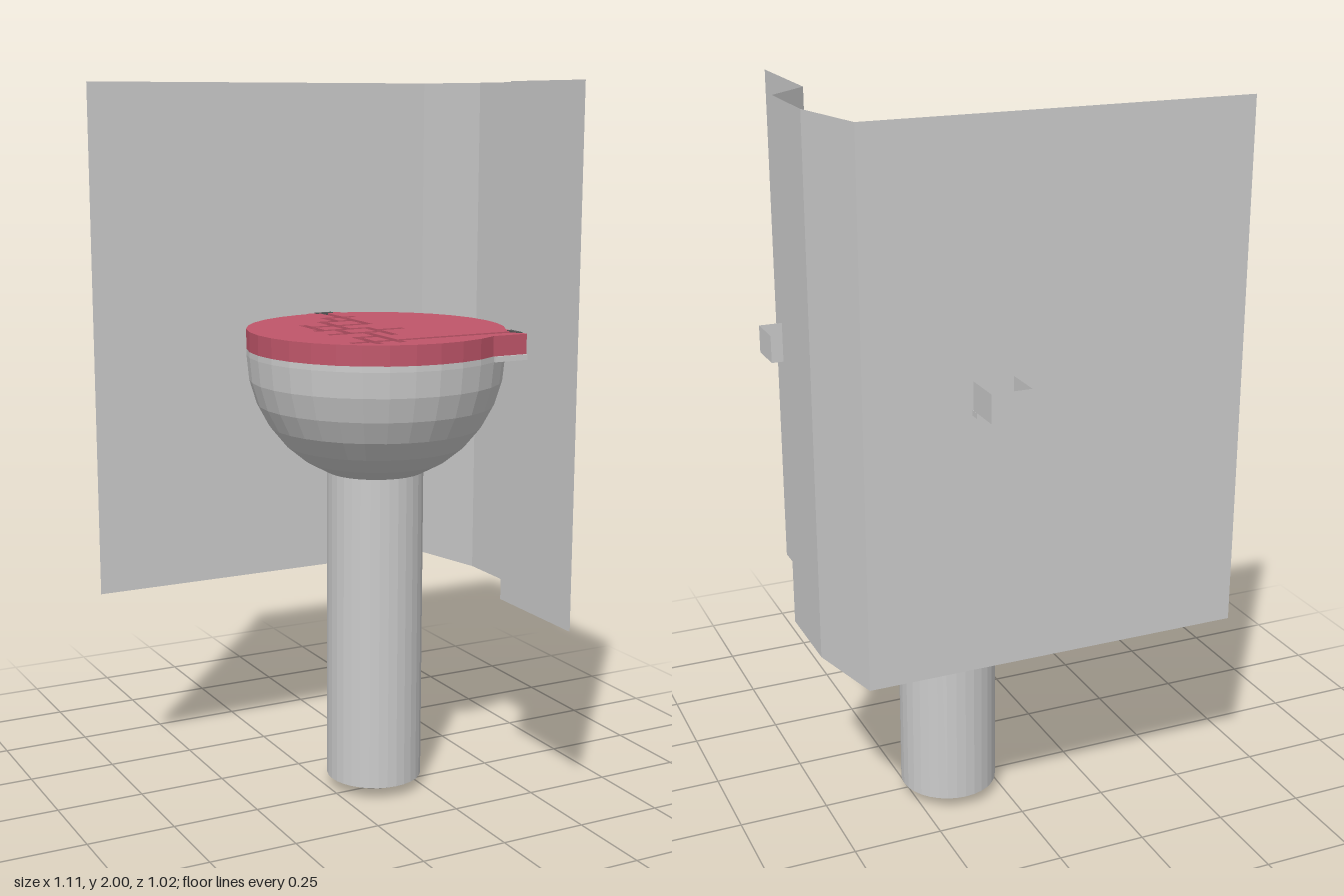
import * as THREE from 'three';

const mat = (color) => new THREE.MeshStandardMaterial({ color, flatShading: true, side: THREE.DoubleSide });
const grey = mat(0xcccccc), red = mat(0xc0566a), black = mat(0x0c0c0c), dark = mat(0x555555);

const CX = 0.137, CZ = -0.03, R = 0.358;   // bowl axis and radius
const FLOOR = 1.28, TOP = 1.335;           // underside and top of the channel plate
const SCREEN_Y = 0.565, SCREEN_TOP = 2;
const HALF = 0.0115;                       // half width of a channel

// Channel centre lines: x0, z0, x1, z1
const channels = [
  [0.155, -0.378, 0.155, -0.112], [0.104, -0.275, 0.188, -0.275],
  [0.104, -0.275, 0.104, -0.2], [0.054, -0.2, 0.155, -0.2],
  [0.054, -0.2, 0.054, -0.035], [-0.024, -0.112, 0.155, -0.112],
  [-0.024, -0.151, -0.024, -0.035], [-0.039, -0.035, 0.112, -0.035],
  [0.112, -0.035, 0.112, 0.113], [0.112, 0.015, 0.188, 0.015],
  [0.016, -0.035, 0.016, 0.048], [-0.039, 0.048, 0.112, 0.048],
  [0.06, 0.048, 0.06, 0.25], [-0.007, 0.131, 0.06, 0.131],
  [-0.007, 0.131, -0.007, 0.25], [-0.061, 0.22, 0.418, 0.22],
].map(([a, b, c, d]) => [a - HALF, b - HALF, c + HALF, d + HALF]);

function add(parent, name, geometry, material, x = 0, y = 0, z = 0) {
  const mesh = new THREE.Mesh(geometry, material);
  mesh.name = name;
  mesh.position.set(x, y, z);
  parent.add(mesh);
  return mesh;
}

// Outline loops of the union of rectangles; the filled side is on the left
function unionLoops(rects) {
  const lines = (i) => [...new Set(rects.flatMap((r) => [r[i], r[i + 2]]))].sort((a, b) => a - b);
  const xs = lines(0), zs = lines(1);
  const filled = (i, j) => {
    const x = (xs[i] + xs[i + 1]) / 2, z = (zs[j] + zs[j + 1]) / 2;
    return rects.some((r) => x > r[0] && x < r[2] && z > r[1] && z < r[3]);
  };
  const next = new Map();
  const edge = (a, b, c, d) => next.set(`${a},${b}`, `${c},${d}`);
  for (let i = 0; i < xs.length - 1; i++) {
    for (let j = 0; j < zs.length - 1; j++) {
      if (!filled(i, j)) continue;
      if (!filled(i, j - 1)) edge(i, j, i + 1, j);
      if (!filled(i + 1, j)) edge(i + 1, j, i + 1, j + 1);
      if (!filled(i, j + 1)) edge(i + 1, j + 1, i, j + 1);
      if (!filled(i - 1, j)) edge(i, j + 1, i, j);
    }
  }
  const loops = [];
  while (next.size) {
    let key = next.keys().next().value;
    const loop = [];
    while (next.has(key)) {
      const [i, j] = key.split(',').map(Number);
      loop.push(new THREE.Vector2(xs[i], zs[j]));
      const following = next.get(key);
      next.delete(key);
      key = following;
    }
    loops.push(loop);
  }
  return loops;
}

// Round plate outline with a square corner at the side port and a short tab at the back port
function plateOutline() {
  const points = [];
  for (let i = 0; i < 32; i++) {
    const deg = i * 11.25, a = THREE.MathUtils.degToRad(deg);
    if (i === 3) [[0.437, 0.165], [0.437, 0.27], [0.332, 0.27]].forEach((p) => points.push(new THREE.Vector2(...p)));
    if (i === 24) [[0.102, -0.385], [0.102, -0.394], [0.21, -0.394], [0.21, -0.38]].forEach((p) => points.push(new THREE.Vector2(...p)));
    if ((deg > 32 && deg < 58) || (deg > 263 && deg < 283)) continue;
    points.push(new THREE.Vector2(CX + R * Math.cos(a), CZ + R * Math.sin(a)));
  }
  return points;
}

// Open-topped port box outside the screen, pointing along -z
function makePort(name, x, z, turn) {
  const port = new THREE.Group();
  port.name = name;
  const size = 0.108, mid = -0.061;
  const walls = new THREE.CylinderGeometry(size / Math.SQRT2, size / Math.SQRT2, 0.075, 4, 1, true).rotateY(Math.PI / 4);
  add(port, 'portWalls', walls, grey, 0, FLOOR + 0.0375, mid);
  add(port, 'portFloor', new THREE.PlaneGeometry(size, size).rotateX(-Math.PI / 2), black, 0, FLOOR + 0.001, mid);
  add(port, 'portPin', new THREE.BoxGeometry(0.026, 0.02, 0.017), dark, 0, FLOOR + 0.011, mid);
  add(port, 'portNeck', new THREE.BoxGeometry(0.054, 0.056, 0.02), dark, 0, FLOOR + 0.029, 0.005);
  add(port, 'portShelf', new THREE.BoxGeometry(size, 0.015, 0.13), grey, 0, FLOOR - 0.0078, 0.037);
  port.position.set(x, 0, z);
  port.rotation.y = turn;
  return port;
}

export function createModel() {
  const model = new THREE.Group();
  model.name = 'pedestalWithScreen';

  // Column with a shallow domed foot
  const column = [[0, 0], [0.05, 0.005], [0.1, 0.019], [0.136, 0.035], [0.136, 0.95]].map((p) => new THREE.Vector2(...p));
  add(model, 'column', new THREE.LatheGeometry(column, 32), grey, CX, 0, CZ);

  // Hemispherical bowl closed by a flat top
  const bowl = [];
  for (let i = 0; i <= 8; i++) {
    const a = (i * Math.PI) / 16;
    bowl.push(new THREE.Vector2(R * Math.sin(a), 1.264 - R * Math.cos(a)));
  }
  bowl.push(new THREE.Vector2(R, FLOOR), new THREE.Vector2(0, FLOOR));
  add(model, 'bowl', new THREE.LatheGeometry(bowl, 32), grey, CX, 0, CZ);

  // Plate cut through by the channels, with the enclosed islands kept
  const plate = new THREE.Shape(plateOutline());
  const shapes = [plate];
  for (const loop of unionLoops(channels)) {
    if (THREE.ShapeUtils.area(loop) > 0) plate.holes.push(new THREE.Path(loop));
    else shapes.push(new THREE.Shape(loop));
  }
  const plateGeo = new THREE.ExtrudeGeometry(shapes, { depth: TOP - FLOOR, bevelEnabled: false });
  add(model, 'channelPlate', plateGeo.rotateX(Math.PI / 2), red, 0, TOP, 0);

  // Thin folded screen around the back and the left side
  const path = [[-0.555, -0.395], [0.495, -0.395], [0.55, -0.17], [0.55, 0.062], [0.437, 0.165], [0.437, 0.507]];
  const corners = [], index = [];
  path.forEach(([x, z], i) => {
    corners.push(x, SCREEN_Y, z, x, SCREEN_TOP, z);
    const k = i * 2;
    if (i < path.length - 1) index.push(k, k + 2, k + 1, k + 1, k + 2, k + 3);
  });
  let screen = new THREE.BufferGeometry();
  screen.setAttribute('position', new THREE.Float32BufferAttribute(corners, 3));
  screen.setIndex(index);
  screen = screen.toNonIndexed();
  screen.computeVertexNormals();
  add(model, 'screen', screen, grey);

  // Ports through the screen
  model.add(makePort('backPort', 0.156, -0.395, 0));
  model.add(makePort('sidePort', 0.437, 0.221, -Math.PI / 2));
  return model;
}
